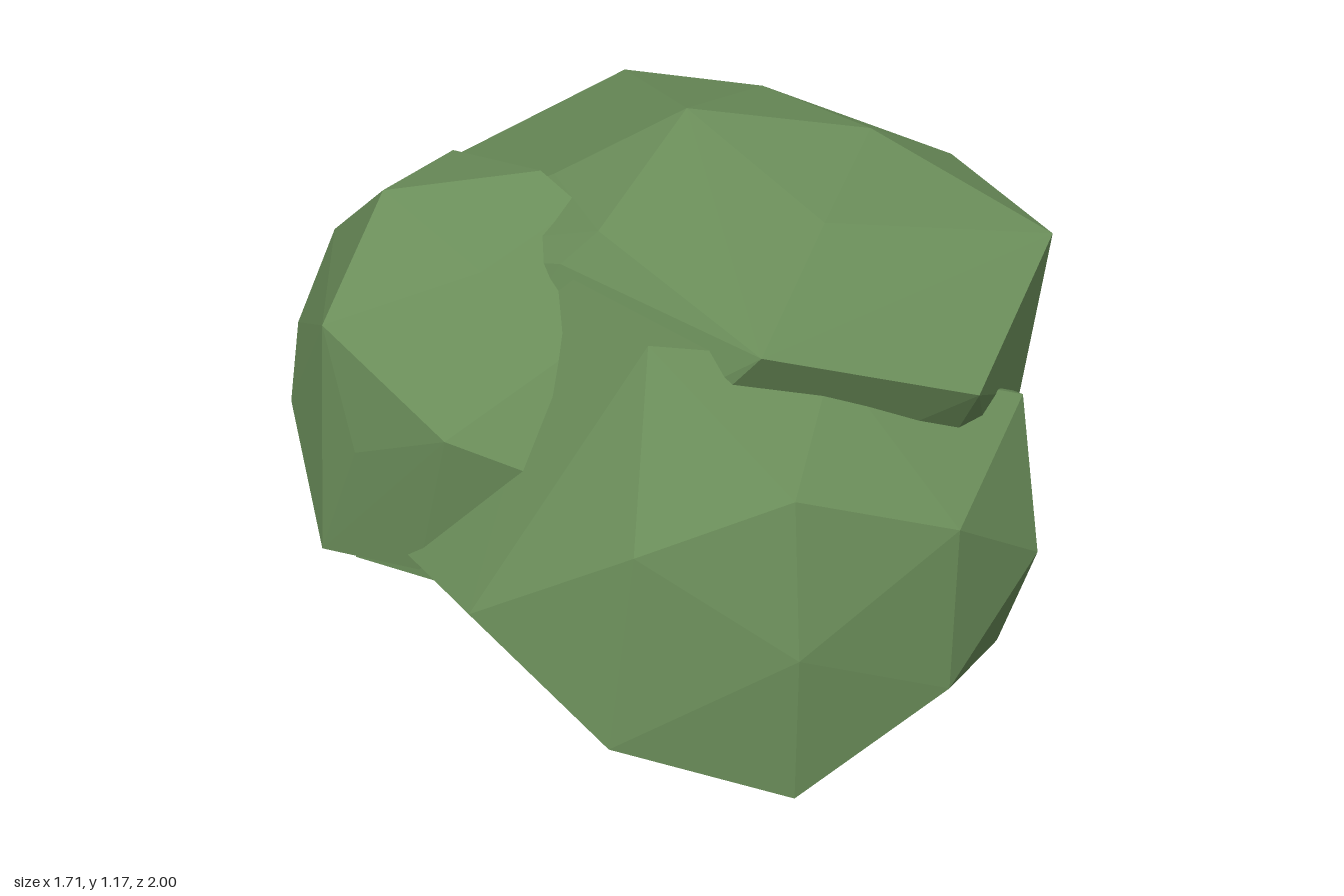
import * as THREE from 'three';
import { ConvexGeometry } from 'three/addons/geometries/ConvexGeometry.js';

// Each leaf clump is a faceted hull around a few corner points [x, y, z].
const clumps = {
  // large tilted crown, resting over the others
  crownClump: [
    [0.07, 1.17, -0.04], [0.5, 1.09, -0.04], [0.33, 1.06, -0.42], [0.3, 1.04, 0.35],
    [-0.2, 1.07, 0.37], [-0.28, 0.99, 0.35], [-0.24, 1.05, 0.0],
    [0.07, 0.94, 0.77], [0.55, 0.79, 0.73], [0.85, 0.93, 0.26], [0.78, 0.89, -0.32],
    [0.51, 0.76, -0.74], [0.07, 0.95, -0.87], [-0.39, 0.78, -0.78], [-0.71, 0.8, -0.2],
    [0.81, 0.56, -0.03], [0.8, 0.56, -0.49], [0.78, 0.56, 0.31], [0.77, 0.25, 0.19],
    [0.1, 0.6, -0.78], [-0.42, 0.33, -0.83], [-0.75, 0.2, -0.32], [-0.74, 0.21, 0.18],
    [0.76, 0.22, -0.34], [0.3, 0.22, -0.55], [0.45, 0.3, 0.45], [-0.45, 0.2, 0.4],
  ],
  // front clump with a flat base
  frontClump: [
    [0.11, 0.35, 1.0], [0.11, 0, 0.99], [-0.28, 0.14, 0.94], [0.47, 0.17, 0.89],
    [0.48, 0.55, 0.87], [0.72, 0.36, 0.68], [0.71, 0.68, 0.54], [0.11, 0.69, 0.93],
    [-0.22, 0.58, 0.91], [-0.15, 0.95, 0.69], [-0.27, 0.97, 0.35], [0.25, 0.86, 0.65],
    [-0.54, 0.36, 0.71], [-0.65, 0.36, 0.42], [-0.4, 0.66, 0.53],
    [0.69, 0.04, 0.53], [0.69, 0.05, 0.05], [0.55, 0, 0.45], [0.5, 0, 0.0],
    [0.84, 0.36, -0.14], [0.38, 0, 0.75], [-0.06, 0, 0.8],
    [-0.5, 0.01, 0.06], [0.1, 0, -0.36], [0.3, 0.25, -0.46], [-0.48, 0.4, 0.0],
  ],
  // upright clump on the -x side
  sideClump: [
    [-0.63, 1.07, 0.07], [-0.28, 1.09, 0.07], [-0.21, 1.05, 0.18], [-0.44, 1.02, -0.25],
    [-0.45, 0.98, 0.34], [-0.79, 0.85, 0.27], [-0.72, 0.82, -0.3], [-0.82, 0.6, -0.27],
    [-0.86, 0.57, 0.07], [-0.82, 0.3, 0.28], [-0.83, 0.32, -0.02], [-0.74, 0.58, 0.36],
    [-0.56, 0.68, 0.53], [-0.37, 0.62, 0.61], [-0.31, 0.84, 0.51], [-0.62, 0.33, 0.46],
    [-0.6, 0.4, -0.2], [-0.3, 0.4, 0.1],
  ],
  // low clump at the back
  backClump: [
    [0.31, 0.7, -0.8], [0.14, 0.59, -0.99], [0.14, 0.33, -1.0], [0.43, 0.46, -0.94],
    [0.68, 0.33, -0.8], [0.7, 0.33, -0.48], [0.68, 0.22, -0.6],
    [-0.16, 0.5, -0.96], [-0.16, 0.18, -0.96], [-0.41, 0.33, -0.81],
    [0.14, 0.17, -0.95], [0.42, 0.11, -0.86], [0.14, 0.08, -0.77],
    [0.5, 0.08, -0.3], [-0.15, 0.08, -0.33], [-0.4, 0.23, -0.47],
  ],
};

export function createModel() {
  const bush = new THREE.Group();
  bush.name = 'bush';
  const leaf = new THREE.MeshStandardMaterial({ color: 0x6b8e5a });
  leaf.name = 'leafGreen';
  for (const [name, corners] of Object.entries(clumps)) {
    const geometry = new ConvexGeometry(corners.map((c) => new THREE.Vector3(...c)));
    const mesh = new THREE.Mesh(geometry, leaf);
    mesh.name = name;
    bush.add(mesh);
  }
  return bush;
}
